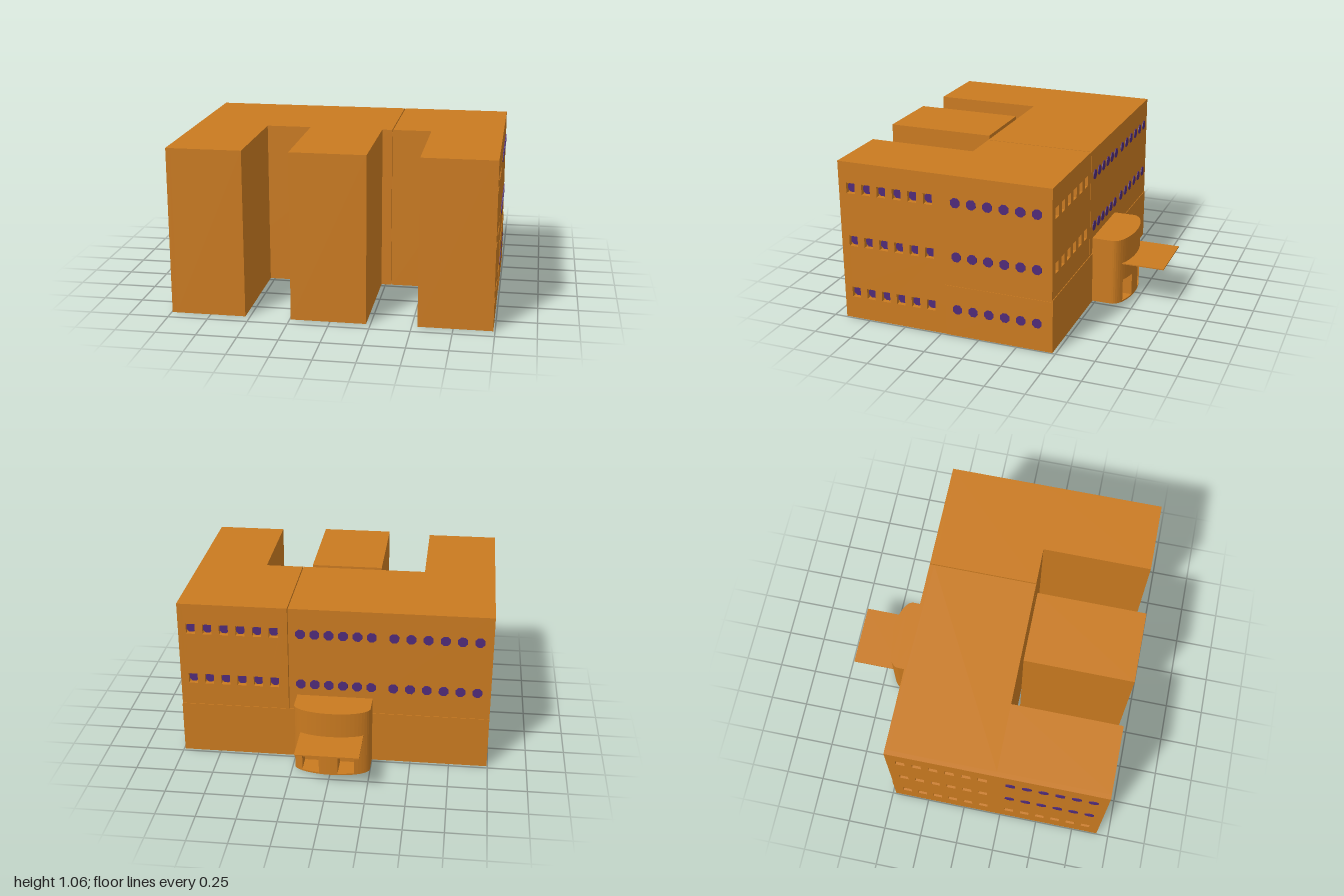
import * as THREE from 'three';

const wall = new THREE.MeshStandardMaterial({ color: 0xc97a20 });
wall.name = 'ochreWall';
const glass = new THREE.MeshStandardMaterial({ color: 0x4f2a78 });
glass.name = 'purpleGlass';

const H = 1.05, D = 0.03;             // building height, wall thickness
const X0 = -0.995, X1 = 0.99;         // outer side faces
const ZB = -0.475, ZM = 0.22, ZF = 0.92; // back, courtyard and wing-front planes
const SEAM = 0.288, GAP = 0.003;      // expansion joint
const ROWS = [0.18, 0.53, 0.88];

function mesh(name, geometry, material, parent) {
  const m = new THREE.Mesh(geometry, material);
  m.name = name;
  parent.add(m);
  return m;
}

// Box given by its limits
function block(name, x0, x1, y0, y1, z0, z1, parent) {
  const m = mesh(name, new THREE.BoxGeometry(x1 - x0, y1 - y0, z1 - z0), wall, parent);
  m.position.set((x0 + x1) / 2, (y0 + y1) / 2, (z0 + z1) / 2);
}

function rectPath(u0, u1, y0, y1, Type = THREE.Path) {
  return new Type([[u0, y0], [u1, y0], [u1, y1], [u0, y1]].map(p => new THREE.Vector2(...p)));
}

// Wall slab facing local +z; each window group has a start, end, rows and a recessed flag
function facade(name, u0, u1, groups, parent) {
  const g = new THREE.Group();
  g.name = name;
  const shape = rectPath(u0, u1, 0, H, THREE.Shape);
  const pane = new THREE.CylinderGeometry(0.033, 0.033, 0.006, 8);
  pane.rotateY(Math.PI / 8).rotateX(Math.PI / 2);
  for (const { from, to, rows, recessed } of groups) {
    for (const y of rows) {
      for (let i = 0; i < 6; i++) {
        const u = from + (to - from) * i / 5;
        if (recessed) shape.holes.push(rectPath(u - 0.029, u + 0.029, y - 0.034, y + 0.034));
        mesh('window', pane, glass, g).position.set(u, y, recessed ? -D + 0.003 : 0.002);
      }
    }
  }
  const slab = new THREE.ExtrudeGeometry(shape, { depth: D, bevelEnabled: false });
  slab.translate(0, 0, -D);
  mesh('wallSlab', slab, wall, g);
  parent.add(g);
  return g;
}

// Curved entrance front: z as a function of x
const porchX0 = -0.25, porchX1 = 0.235;
function porchZ(x) {
  const t = (2 * x - porchX0 - porchX1) / (porchX1 - porchX0);
  return 0.61 + 0.095 * Math.sqrt(Math.max(0, 1 - t * t));
}

// Porch storey as an extruded plan, with doorways cut into its front
function porchStorey(name, y0, y1, doors, parent) {
  const pts = [[porchX0, 0.47]];
  const inDoor = x => doors.some(([a, b]) => x > a && x < b);
  const xs = [];
  for (let i = 0; i <= 24; i++) {
    const a = Math.PI * i / 24;
    xs.push((porchX0 + porchX1) / 2 - Math.cos(a) * (porchX1 - porchX0) / 2);
  }
  const stops = xs.filter(x => !inDoor(x)).map(x => [[x, porchZ(x)]]);
  for (const [a, b] of doors) {
    stops.push([[a, porchZ(a)], [a, 0.55], [b, 0.55], [b, porchZ(b)]]);
  }
  stops.sort((p, q) => p[0][0] - q[0][0]);
  stops.forEach(s => pts.push(...s));
  pts.push([porchX1, 0.47]);
  const shape = new THREE.Shape(pts.map(p => new THREE.Vector2(...p)));
  const geo = new THREE.ExtrudeGeometry(shape, { depth: y1 - y0, bevelEnabled: false });
  geo.rotateX(-Math.PI / 2); // plan depth becomes -z, extrusion becomes +y
  mesh(name, geo, wall, parent).position.y = y0;
}

export function createModel() {
  const model = new THREE.Group();
  model.name = 'building';

  // U-shaped core, split by a narrow joint
  block('mainBlockRight', X0 + D, SEAM - GAP, 0, H, ZB + D, ZM, model);
  block('mainBlockLeft', SEAM + GAP, X1 - D, 0, H, ZB + D, ZM, model);
  block('jointFill', SEAM - GAP, SEAM + GAP, 0, H - 0.02, ZB + D, ZM - 0.02, model);
  block('rightWing', X0 + D, -0.53, 0, H, ZM, ZF, model);
  block('leftWing', 0.535, X1 - D, 0, H, ZM, ZF, model);

  // Free-standing middle wing
  block('middleWing', -0.24, 0.225, 0.006, 1.057, 0.24, 0.94, model);

  // Side walls
  const left = facade('leftWall', -ZF, -ZB, [
    { from: -0.84, to: -0.32, rows: ROWS, recessed: true },
    { from: -0.14, to: 0.38, rows: ROWS, recessed: false },
  ], model);
  left.rotation.y = Math.PI / 2;
  left.position.x = X1;
  const right = facade('rightWall', ZB, ZF, [
    { from: -0.386, to: 0.134, rows: ROWS, recessed: true },
    { from: 0.31, to: 0.83, rows: ROWS.slice(1), recessed: false },
    { from: 0.31, to: 0.83, rows: [ROWS[0]], recessed: true },
  ], model);
  right.rotation.y = -Math.PI / 2;
  right.position.x = X0;

  // Back wall on both sides of the joint, upper floors only
  const upper = ROWS.slice(1);
  const backs = [
    facade('backWallLeft', -X1 + D, -SEAM - GAP, [
      { from: -0.91, to: -0.38, rows: upper, recessed: true },
    ], model),
    facade('backWallRight', -SEAM + GAP, -X0 - D, [
      { from: -0.21, to: 0.24, rows: upper, recessed: false },
      { from: 0.38, to: 0.91, rows: upper, recessed: false },
    ], model),
  ];
  for (const b of backs) {
    b.rotation.y = Math.PI;
    b.position.z = ZB;
  }

  // Thin ground-floor facings
  block('backPlinth', X0, X1, 0, 0.345, ZB - 0.004, ZB, model);
  block('leftPlinth', X1, X1 + 0.003, 0, 0.335, ZB, ZM, model);

  // Curved entrance with two doorways and a flat canopy
  const porch = new THREE.Group();
  porch.name = 'entrance';
  porchStorey('porchSill', 0.006, 0.016, [], porch);
  porchStorey('porchDoorLevel', 0.016, 0.165, [[-0.155, -0.05], [0.07, 0.18]], porch);
  porchStorey('porchUpper', 0.165, 0.45, [], porch);
  block('canopy', -0.21, 0.19, 0.278, 0.285, -0.94, -0.6, porch);
  model.add(porch);

  return model;
}
